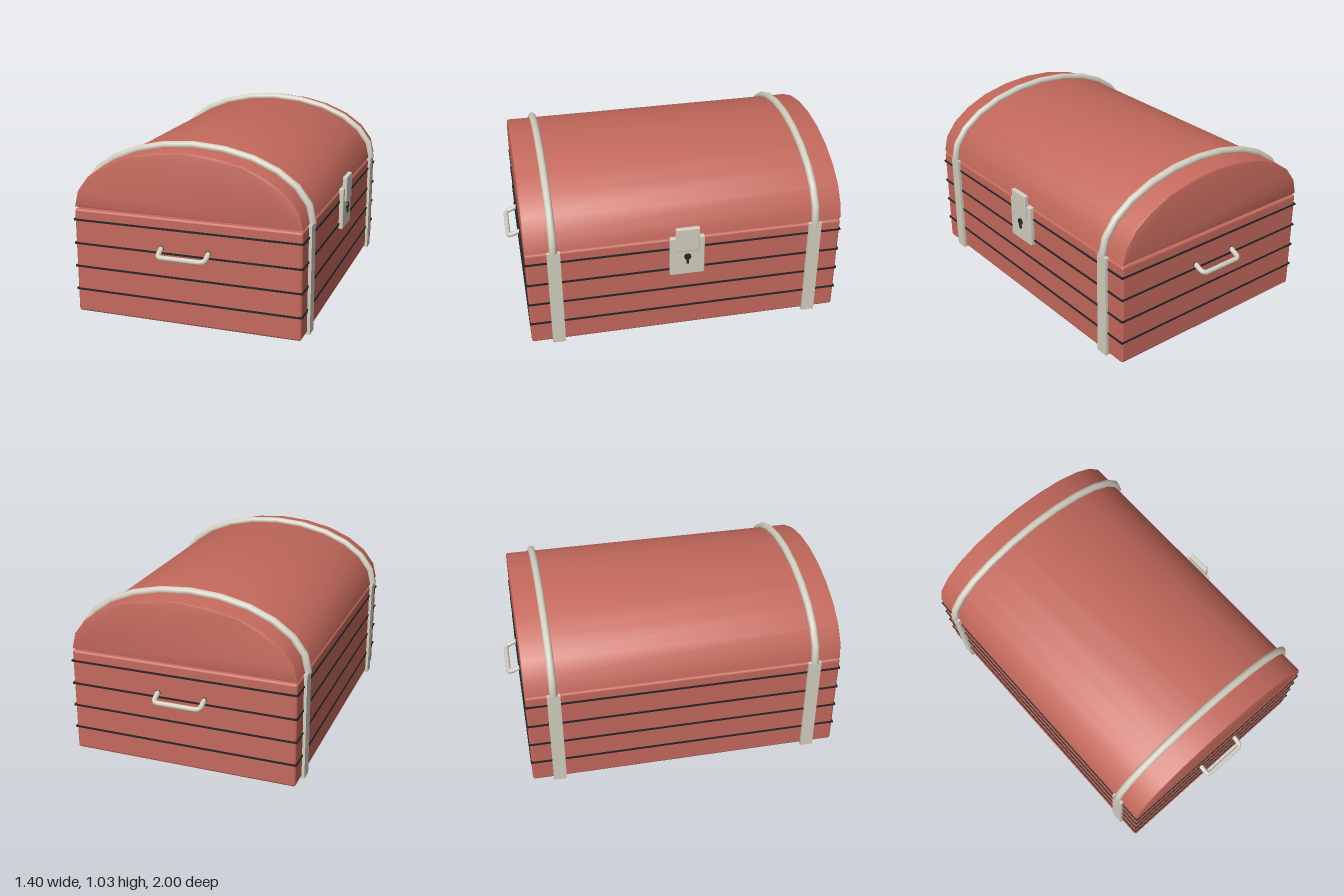
import * as THREE from 'three';
import { RoundedBoxGeometry } from 'three/addons/geometries/RoundedBoxGeometry.js';
import { toCreasedNormals } from 'three/addons/utils/BufferGeometryUtils.js';

const SEAM = 0.632; // height where the lid starts

// Half-ellipse in the xy plane, sampled evenly by angle
class ArchCurve extends THREE.Curve {
  constructor(a, b) { super(); this.a = a; this.b = b; }
  getPoint(t, target = new THREE.Vector3()) {
    const angle = Math.PI * t;
    return target.set(this.a * Math.cos(angle), this.b * Math.sin(angle), 0);
  }
  getUtoTmapping(u) { return u; }
}

export function createModel() {
  const red = new THREE.MeshStandardMaterial({ color: 0xc4695c });
  red.name = 'red wood';
  const metal = new THREE.MeshStandardMaterial({ color: 0xd4cec0 });
  metal.name = 'pale metal';
  const dark = new THREE.MeshStandardMaterial({ color: 0x262626 });
  dark.name = 'dark groove';

  const chest = new THREE.Group();
  chest.name = 'chest';

  const add = (parent, name, geometry, material, x = 0, y = 0, z = 0) => {
    const mesh = new THREE.Mesh(geometry, material);
    mesh.name = name;
    mesh.position.set(x, y, z);
    parent.add(mesh);
    return mesh;
  };
  const box = (w, h, d) => new THREE.BoxGeometry(w, h, d);

  // Body with softened edges
  add(chest, 'body', new RoundedBoxGeometry(1.326, 0.614, 1.83, 2, 0.014), red, 0, 0.315, 0);

  // Dark plank lines around the body
  for (const y of [0.145, 0.283, 0.42, 0.559]) {
    add(chest, 'plankLine', box(1.336, 0.011, 1.838), dark, 0, y, 0);
  }

  // Domed lid: twelve-sided half-ellipse with a small bevel
  const arch = new ArchCurve(0.662, 0.363);
  const profile = new THREE.Shape(arch.getPoints(12).map(p => new THREE.Vector2(p.x, p.y)));
  const bevel = 0.008;
  const lid = new THREE.ExtrudeGeometry(profile, {
    depth: 1.83 - 2 * bevel, steps: 1,
    bevelThickness: bevel, bevelSize: bevel, bevelOffset: -bevel, bevelSegments: 2,
  });
  lid.translate(0, 0, -0.915 + bevel);
  add(chest, 'lid', toCreasedNormals(lid, 0.6), red, 0, SEAM, 0);

  // Metal bands: a round arch over the lid and flat straps round the body
  const bandCurve = new ArchCurve(0.673, 0.371);
  for (const z of [0.757, -0.757]) {
    const band = new THREE.Group();
    band.name = 'band';
    band.position.z = z;
    chest.add(band);
    add(band, 'lidBand', new THREE.TubeGeometry(bandCurve, 12, 0.0225, 12), metal, 0, SEAM, 0);
    for (const side of [-1, 1]) {
      const cap = add(band, 'bandEnd', new THREE.CircleGeometry(0.0225, 12), metal, side * 0.673, SEAM, 0);
      cap.rotation.x = Math.PI / 2;
      add(band, 'sideStrap', box(0.022, 0.628, 0.075), metal, side * 0.669, 0.314, 0);
    }
    add(band, 'bottomStrap', box(1.338, 0.018, 0.075), metal, 0, 0.009, 0);
  }

  // Drooping pull handles on both ends
  const points = [
    [-0.138, 0.448, 0.91], [-0.138, 0.428, 0.955], [-0.134, 0.42, 0.975], [-0.115, 0.417, 0.984],
    [0.115, 0.417, 0.984], [0.134, 0.42, 0.975], [0.138, 0.428, 0.955], [0.138, 0.448, 0.91],
  ].map(p => new THREE.Vector3(...p));
  const path = new THREE.CurvePath();
  for (let i = 1; i < points.length; i++) path.add(new THREE.LineCurve3(points[i - 1], points[i]));
  for (const turn of [0, Math.PI]) {
    const handle = add(chest, 'handle', new THREE.TubeGeometry(path, 60, 0.0148, 10), metal);
    handle.rotation.y = turn;
    for (const x of [-0.138, 0.138]) {
      const ring = add(handle, 'handleSocket', new THREE.CylinderGeometry(0.016, 0.016, 0.008, 12), dark, x, 0.446, 0.915);
      ring.rotation.x = Math.PI / 2;
    }
  }

  // Lock on the +x side: plate, hasp and keyhole
  const lock = new THREE.Group();
  lock.name = 'lock';
  chest.add(lock);
  add(lock, 'lockPlate', new RoundedBoxGeometry(0.034, 0.25, 0.202, 2, 0.006), metal, 0.671, 0.513, 0);
  add(lock, 'hasp', new RoundedBoxGeometry(0.028, 0.152, 0.138, 2, 0.006), metal, 0.686, 0.629, 0);
  const hole = add(lock, 'keyholeTop', new THREE.CylinderGeometry(0.02, 0.02, 0.009, 16), dark, 0.692, 0.512, 0);
  hole.rotation.z = Math.PI / 2;
  add(lock, 'keyholeSlot', box(0.009, 0.045, 0.014), dark, 0.692, 0.49, 0);

  // Centre the whole chest, lock included
  chest.position.x = -0.004;
  const model = new THREE.Group();
  model.name = 'treasureChest';
  model.add(chest);
  return model;
}
